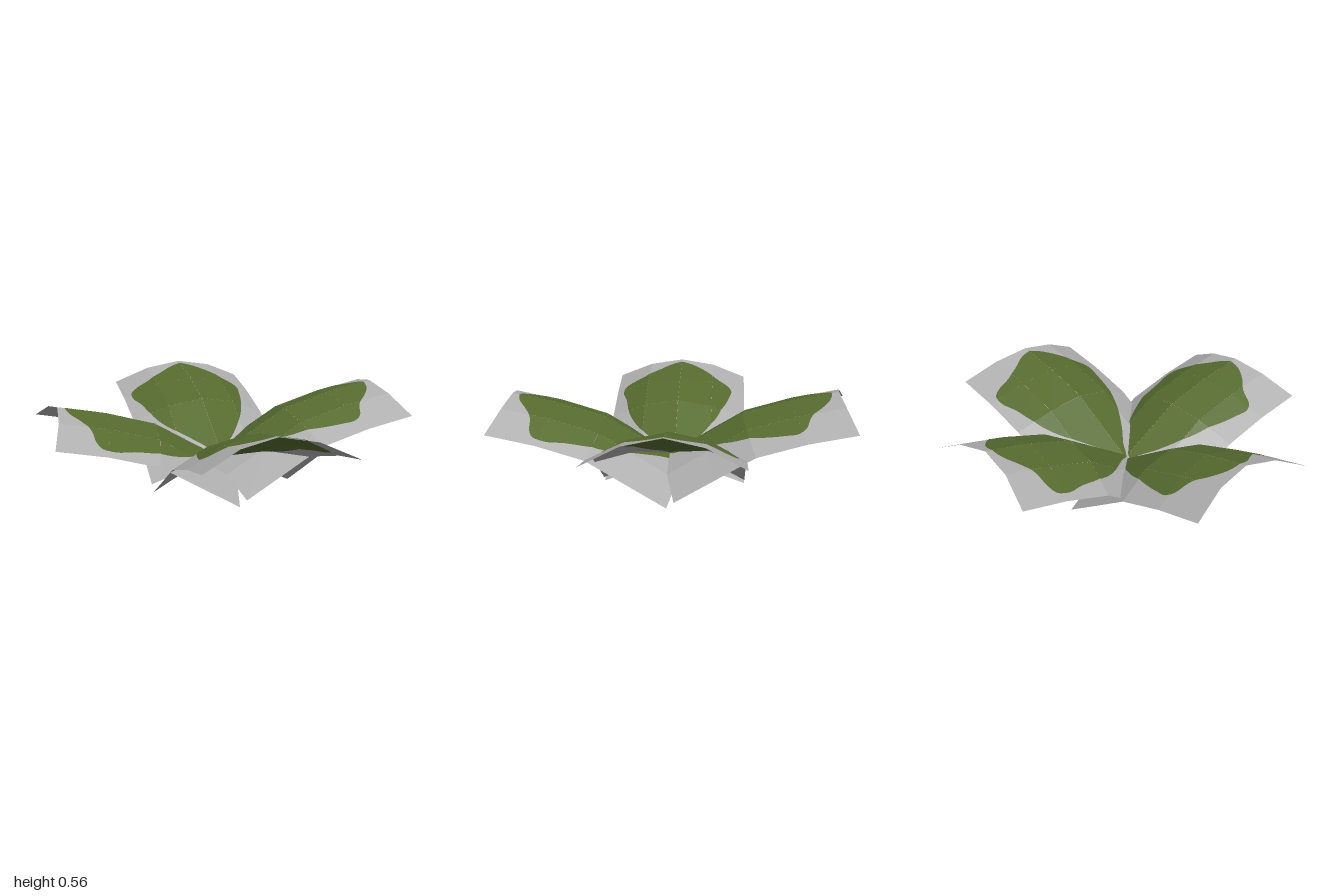
import * as THREE from 'three';

const grey = new THREE.MeshStandardMaterial({ color: 0xb0b0b0, side: THREE.DoubleSide });
grey.name = 'pale grey';
const green = new THREE.MeshStandardMaterial({ color: 0x566b2f, side: THREE.DoubleSide });
green.name = 'olive green';

// side edge of a sheet: distance from the centre, height
const rows = [[0.02, 0], [0.24, 0.132], [0.46, 0.265], [0.73, 0.345], [1, 0.4]];
// arch across a sheet: sideways position, lift, pull towards the centre
const cols = [[-0.408, 0, 0], [-0.204, 0.092, 0.05], [0, 0.13, 0.072], [0.204, 0.092, 0.05], [0.408, 0, 0]];

function interpolate(table, t, k) {
  let i = 0;
  while (i < table.length - 2 && t > table[i + 1][0]) i++;
  const [a, b] = [table[i], table[i + 1]];
  return a[k] + (b[k] - a[k]) * (t - a[0]) / (b[0] - a[0]);
}

// point on the bent sheet for sideways position v and distance s
const onSheet = (v, s) => new THREE.Vector3(
  v, interpolate(rows, s, 1) + interpolate(cols, v, 1), s - interpolate(cols, v, 2));

// keep the part of a polygon on one side of a line
function clip(points, axis, limit, sign) {
  const out = [];
  points.forEach((p, i) => {
    const q = points[(i + 1) % points.length];
    const dp = (p[axis] - limit) * sign, dq = (q[axis] - limit) * sign;
    if (dp >= 0) out.push(p);
    if (dp * dq < 0) out.push(p.clone().lerp(q, dp / (dp - dq)));
  });
  return out;
}

// lay a flat outline over every facet of the sheet, shifted along the facet normal
function drape(outline, shift) {
  const pos = [];
  for (let i = 0; i < 4; i++) {
    for (let j = 0; j < 4; j++) {
      let piece = clip(outline, 'x', cols[i][0], 1);
      piece = clip(piece, 'x', cols[i + 1][0], -1);
      piece = clip(piece, 'y', rows[j][0], 1);
      piece = clip(piece, 'y', rows[j + 1][0], -1);
      if (piece.length < 3) continue;
      const a = onSheet(cols[i][0], rows[j][0]);
      const across = onSheet(cols[i + 1][0], rows[j][0]).sub(a);
      const along = onSheet(cols[i][0], rows[j + 1][0]).sub(a);
      const normal = along.cross(across).normalize().multiplyScalar(shift);
      for (const [p, q, r] of THREE.ShapeUtils.triangulateShape(piece, [])) {
        const area = (piece[q].x - piece[p].x) * (piece[r].y - piece[p].y)
          - (piece[q].y - piece[p].y) * (piece[r].x - piece[p].x);
        if (Math.abs(area) < 1e-9) continue;
        const order = area > 0 ? [p, r, q] : [p, q, r];
        for (const k of order) pos.push(...onSheet(piece[k].x, piece[k].y).add(normal).toArray());
      }
    }
  }
  const geo = new THREE.BufferGeometry();
  geo.setAttribute('position', new THREE.Float32BufferAttribute(pos, 3));
  geo.computeVertexNormals();
  return geo;
}

// leaf outline as seen from above, then measured along the sheet
function leafOutline() {
  const plan = [[0, -0.02], [0.08, 0.08], [0.155, 0.17], [0.22, 0.25], [0.3, 0.41], [0.335, 0.58],
    [0.363, 0.68], [0.355, 0.75], [0.31, 0.775], [0.23, 0.785], [0.14, 0.83], [0.07, 0.873], [0, 0.888],
    [-0.08, 0.873], [-0.16, 0.82], [-0.225, 0.76], [-0.3, 0.73], [-0.325, 0.69], [-0.315, 0.62],
    [-0.285, 0.49], [-0.225, 0.32], [-0.13, 0.16], [-0.06, 0.07]];
  const curve = new THREE.CatmullRomCurve3(plan.map(([x, z]) => new THREE.Vector3(x, z, 0)), true);
  return curve.getPoints(92).slice(0, -1)
    .map(p => new THREE.Vector2(p.x, p.y + interpolate(cols, p.x, 2)));
}

export function createModel() {
  const model = new THREE.Group();
  model.name = 'fourLeafPlant';
  const [w, s0, s1] = [0.408, rows[0][0], rows[4][0]];
  const sheetGeo = drape([[-w, s0], [w, s0], [w, s1], [-w, s1]].map(p => new THREE.Vector2(...p)), 0);
  const outline = leafOutline();
  const topGeo = drape(outline, 0.002);
  const bottomGeo = drape(outline, -0.002);

  // four sheets in a cross, two of them a little higher
  const leaves = [['frontLeaf', 0], ['leftLeaf', 0.034], ['backLeaf', 0.034], ['rightLeaf', 0]];
  leaves.forEach(([name, lift], i) => {
    const leaf = new THREE.Group();
    leaf.name = name;
    const parts = [['sheet', sheetGeo, grey], ['leafTop', topGeo, green], ['leafUnderside', bottomGeo, green]];
    for (const [part, geo, material] of parts) {
      const mesh = new THREE.Mesh(geo, material);
      mesh.name = part;
      leaf.add(mesh);
    }
    leaf.rotation.y = i * Math.PI / 2;
    leaf.position.y = lift;
    model.add(leaf);
  });
  return model;
}
